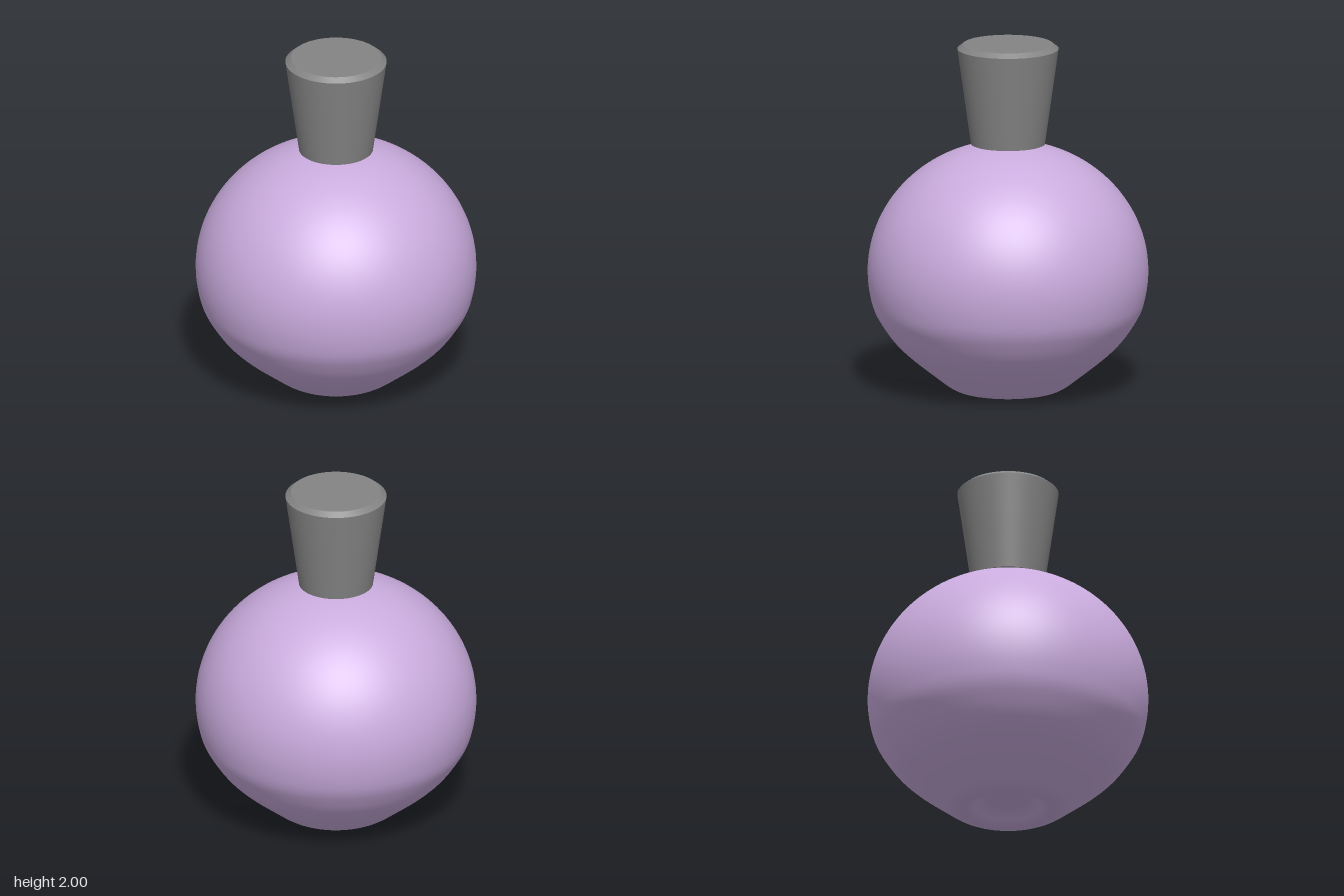
import * as THREE from 'three';

const SEGMENTS = 96;

export function createModel() {
  const model = new THREE.Group();
  model.name = 'roundBottle';

  const lilac = new THREE.MeshStandardMaterial({ name: 'lilac', color: 0xc9abdd });
  const grey = new THREE.MeshStandardMaterial({ name: 'grey', color: 0x848484 });

  const add = (name, geometry, material, y = 0) => {
    const mesh = new THREE.Mesh(geometry, material);
    mesh.name = name;
    mesh.position.y = y;
    model.add(mesh);
  };

  // Body: dimpled base flowing into a slightly squashed globe
  const profile = [
    [0, 0.07], [0.11, 0.067], [0.165, 0.045], [0.21, 0.012], [0.26, 0], [0.33, 0.025],
    [0.43, 0.1], [0.56, 0.205], [0.65, 0.295], [0.72, 0.395],
  ].map(([r, y]) => new THREE.Vector2(r, y));
  const startAngle = -0.3, endAngle = Math.acos(0.15 / 0.795);
  for (let i = 0; i <= 14; i++) {
    const a = startAngle + (endAngle - startAngle) * i / 14;
    profile.push(new THREE.Vector2(0.795 * Math.cos(a), 0.69 + 0.74 * Math.sin(a)));
  }
  const bodyPoints = new THREE.SplineCurve(profile).getPoints(120);
  bodyPoints[0].x = 0;
  add('body', new THREE.LatheGeometry(bodyPoints, SEGMENTS), lilac);

  // Short neck under the stopper
  add('neck', new THREE.CylinderGeometry(0.15, 0.15, 0.04, SEGMENTS), lilac, 1.415);

  // Stopper: tapered cylinder with a chamfered top
  add('stopper', new THREE.CylinderGeometry(0.287, 0.21, 0.55, SEGMENTS), grey, 1.7);
  add('stopperChamfer', new THREE.CylinderGeometry(0.256, 0.287, 0.025, SEGMENTS), grey, 1.9875);

  return model;
}
